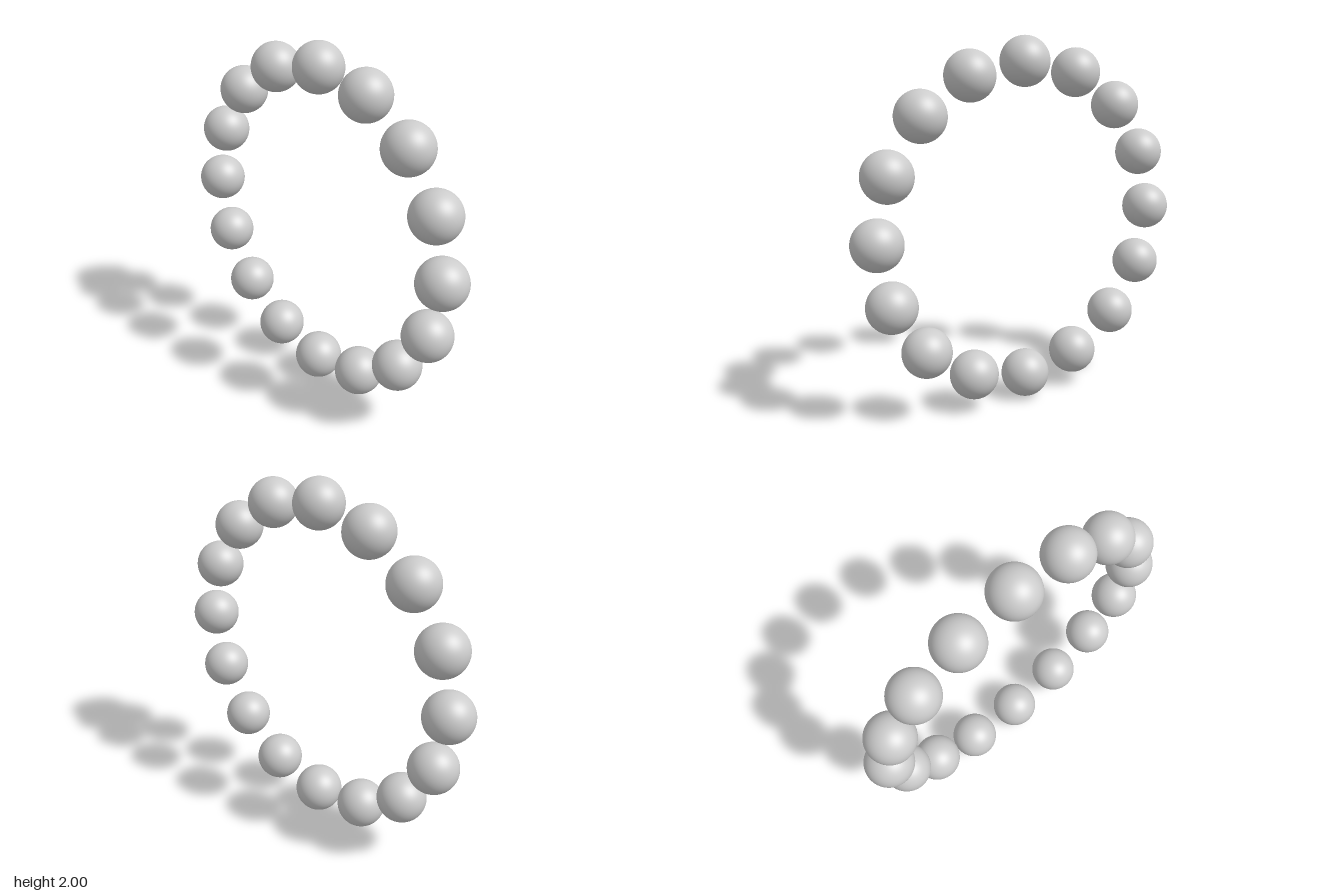
import * as THREE from 'three';

const BEADS = 16;
const BEAD_RADIUS = 0.1333;
const RING_RADIUS = 1 - BEAD_RADIUS;

export function createModel() {
  const model = new THREE.Group();
  model.name = 'beadRing';

  const material = new THREE.MeshStandardMaterial({ color: 0xcccccc });
  const geometry = new THREE.SphereGeometry(BEAD_RADIUS, 48, 32);

  // Equal beads evenly spaced on an upright circle
  for (let i = 0; i < BEADS; i++) {
    const angle = (i / BEADS) * Math.PI * 2;
    const bead = new THREE.Mesh(geometry, material);
    bead.name = `bead${i + 1}`;
    bead.position.set(RING_RADIUS * Math.cos(angle), 1 + RING_RADIUS * Math.sin(angle), 0);
    model.add(bead);
  }
  return model;
}
